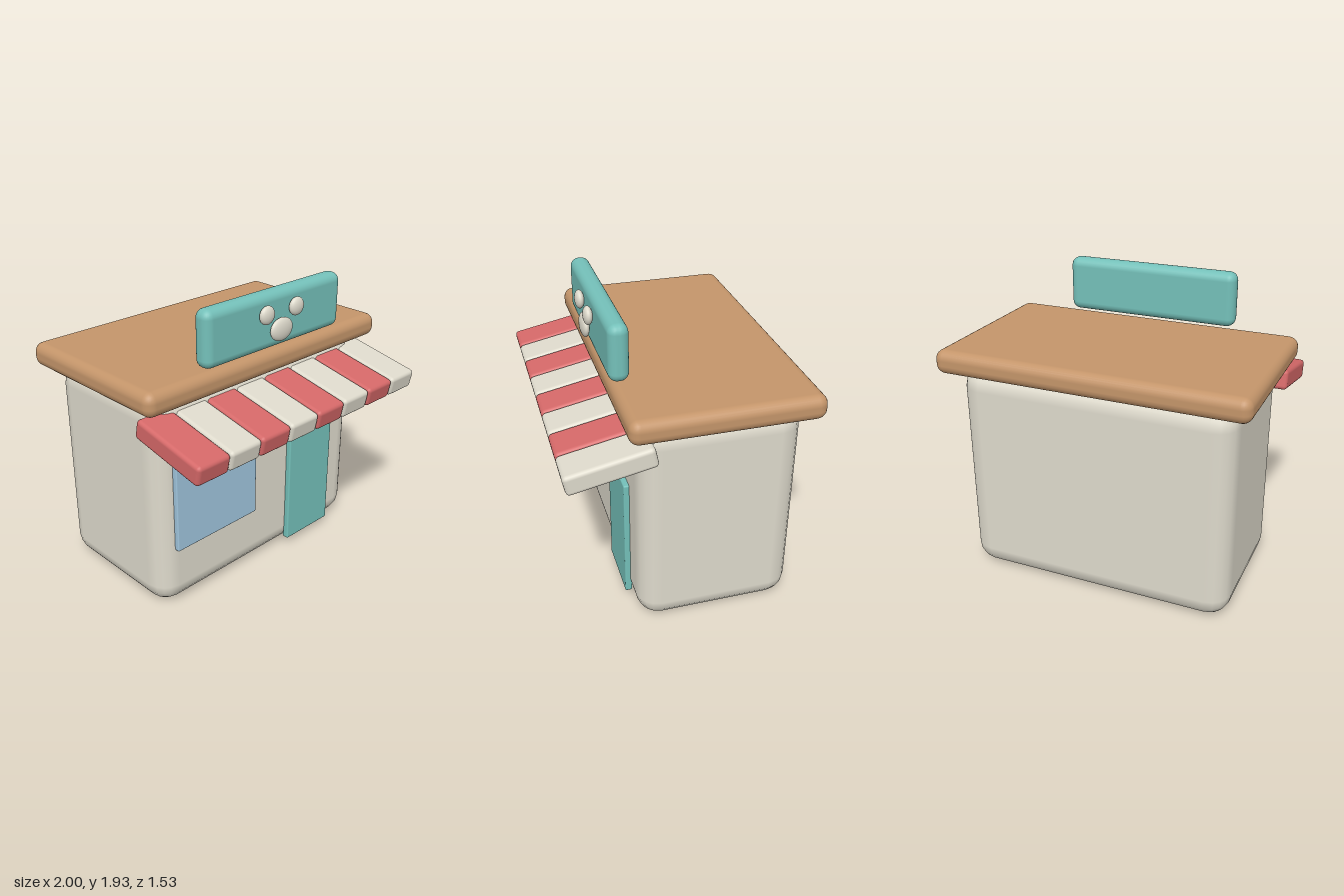
import * as THREE from 'three';
import { RoundedBoxGeometry } from 'three/addons/geometries/RoundedBoxGeometry.js';

export function createModel() {
  const shop = new THREE.Group();
  shop.name = 'shop';

  const material = (name, color) => {
    const m = new THREE.MeshStandardMaterial({ color });
    m.name = name;
    return m;
  };
  const cream = material('cream', 0xdedacc);
  const brown = material('brown', 0xc4956a);
  const teal = material('teal', 0x74c0b9);
  const red = material('red', 0xd56868);
  const blue = material('blue', 0xa0c5dd);

  const add = (name, geometry, mat, x, y, z) => {
    const mesh = new THREE.Mesh(geometry, mat);
    mesh.name = name;
    mesh.position.set(x, y, z);
    shop.add(mesh);
    return mesh;
  };
  // Rounded box given by its extents on each axis
  const block = (name, mat, [x0, x1], [y0, y1], [z0, z1], segments, radius) =>
    add(name, new RoundedBoxGeometry(x1 - x0, y1 - y0, z1 - z0, segments, radius), mat,
      (x0 + x1) / 2, (y0 + y1) / 2, (z0 + z1) / 2);

  // Building and roof
  block('walls', cream, [-0.895, 0.895], [0, 1.43], [-0.685, 0.315], 2, 0.145);
  block('roof', brown, [-1, 1], [1.395, 1.55], [-0.765, 0.393], 3, 0.062);

  // Shop front
  block('window', blue, [-0.78, -0.107], [0.42, 1.05], [0.305, 0.343], 2, 0.008);
  block('door', teal, [0.21, 0.627], [0.052, 0.892], [0.305, 0.35], 2, 0.01);

  // Awning of eight sloping slats in alternating colours
  const slat = new RoundedBoxGeometry(0.24, 0.13, 0.54, 2, 0.026);
  for (let i = 0; i < 8; i++) {
    const mesh = add('awningSlat' + (i + 1), slat, i % 2 ? cream : red,
      -0.853 + i * 0.2417, 1.241, 0.49);
    mesh.rotation.x = 0.2;
  }

  // Sign board with a paw print
  block('signBoard', teal, [-0.58, 0.58], [1.57, 1.926], [0.28, 0.405], 3, 0.055);
  const sphere = new THREE.SphereGeometry(1, 24, 16);
  add('pawPad', sphere, cream, 0, 1.695, 0.43).scale.set(0.093, 0.073, 0.03);
  for (const side of [-1, 1]) {
    add(side < 0 ? 'rightToe' : 'leftToe', sphere, cream, side * 0.127, 1.81, 0.43)
      .scale.set(0.058, 0.058, 0.03);
  }

  return shop;
}
